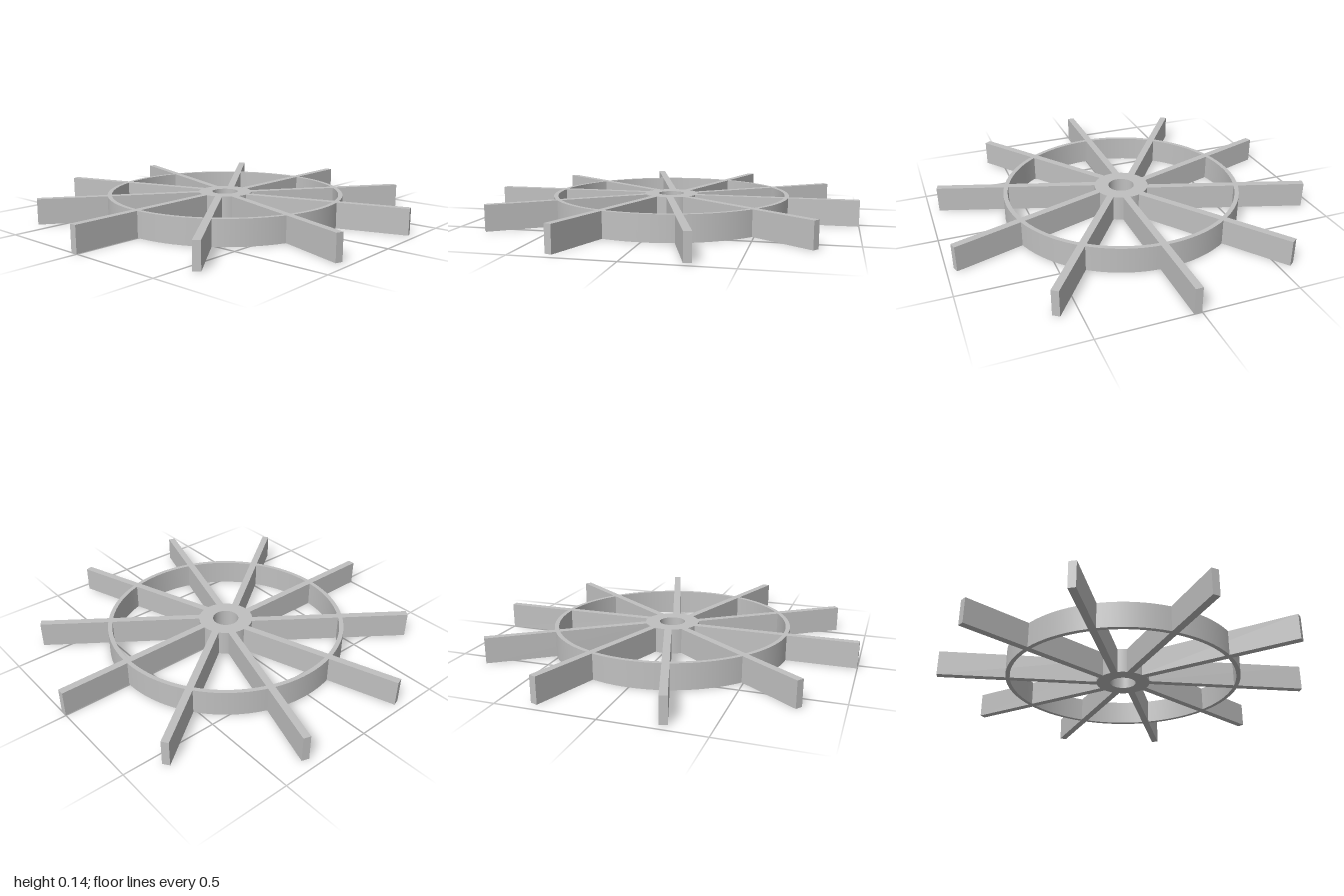
import * as THREE from 'three';
import { mergeGeometries } from 'three/addons/utils/BufferGeometryUtils.js';

const HEIGHT = 0.135;
const SPOKES = 10;

// Annular band: four lathed strips, smooth around and sharp at the rims
function band(inner, outer, segments) {
  const corners = [[outer, 0], [outer, HEIGHT], [inner, HEIGHT], [inner, 0]]
    .map(([r, y]) => new THREE.Vector2(r, y));
  return mergeGeometries(corners.map((p, i) =>
    new THREE.LatheGeometry([p, corners[(i + 1) % 4]], segments)));
}

export function createModel() {
  const group = new THREE.Group();
  const grey = new THREE.MeshStandardMaterial({ color: 0xc0c0c0 });
  grey.name = 'plain grey';

  const add = (name, geometry) => {
    const mesh = new THREE.Mesh(geometry, grey);
    mesh.name = name;
    group.add(mesh);
    return mesh;
  };

  // Hub with its axle hole, and the thin ring tying the spokes together
  add('hub', band(0.069, 0.145, 64));
  add('ring', band(0.614, 0.637, 96));

  // Flat paddles, each with one face on the radial line
  const start = 0.1, end = 1, thickness = 0.038;
  const spoke = new THREE.BoxGeometry(end - start, HEIGHT, thickness)
    .translate((start + end) / 2, HEIGHT / 2, thickness / 2 + 0.002);
  for (let i = 0; i < SPOKES; i++) {
    add('spoke' + (i + 1), spoke).rotation.y = -i * 2 * Math.PI / SPOKES;
  }
  return group;
}
